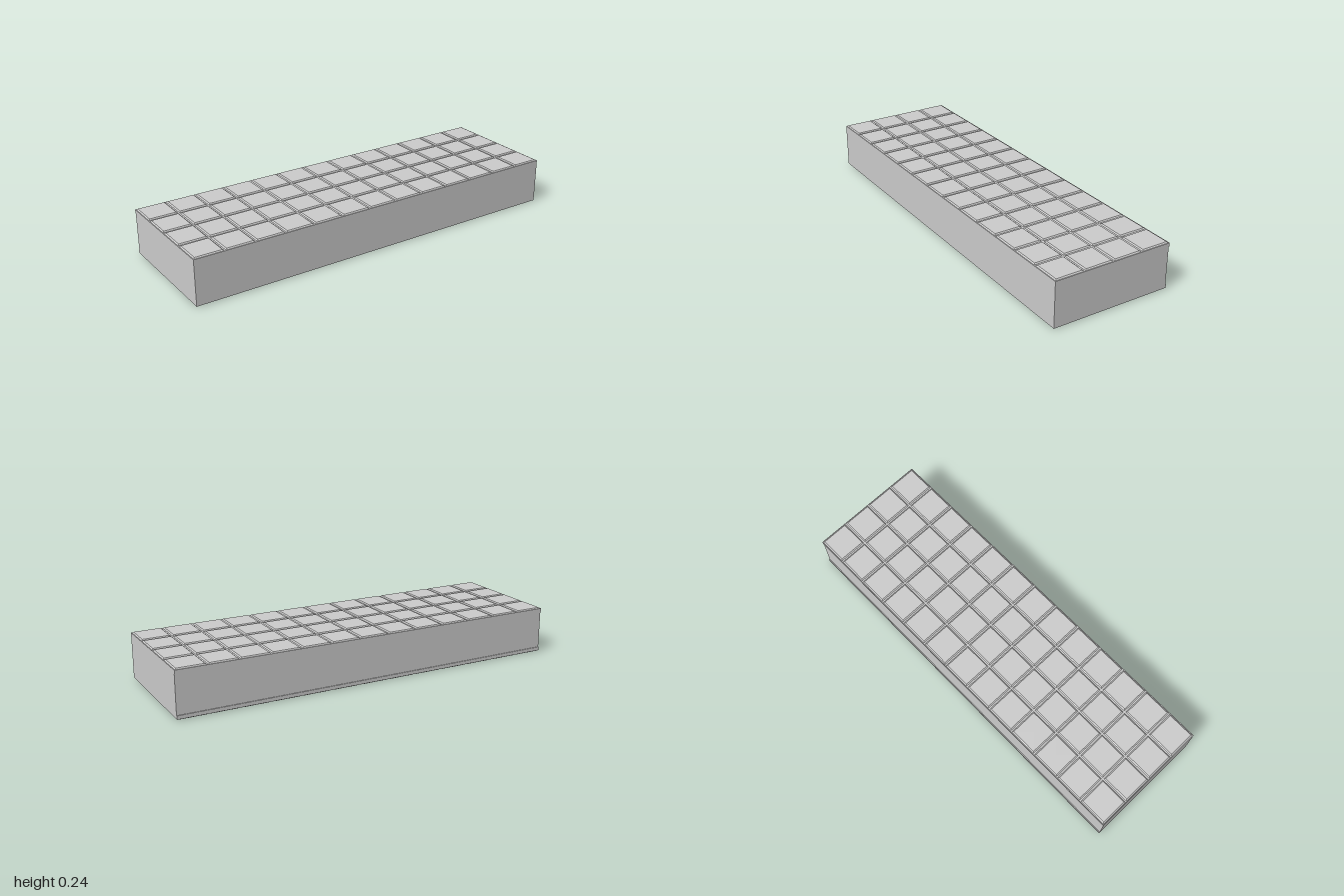
import * as THREE from 'three';

export function createModel() {
  const group = new THREE.Group();
  const material = new THREE.MeshStandardMaterial({ color: 0xcccccc, flatShading: true });

  const columns = 13, rows = 4, pitch = 2 / columns;
  const halfDepth = rows * pitch / 2;
  const bottom = 0.005, top = 0.234, padHeight = 0.005;

  // Slab: cross-section with a shallow recess in the back, extruded along x
  const recess = halfDepth - 0.004, lip = 0.018;
  const section = new THREE.Shape([
    [-halfDepth, bottom], [halfDepth, bottom], [halfDepth, bottom + lip], [recess, bottom + lip],
    [recess, top - lip], [halfDepth, top - lip], [halfDepth, top], [-halfDepth, top],
  ].map(([x, y]) => new THREE.Vector2(x, y)));
  const slabGeometry = new THREE.ExtrudeGeometry(section, { depth: 2, bevelEnabled: false });
  slabGeometry.translate(0, 0, -1).rotateY(Math.PI / 2);
  const slab = new THREE.Mesh(slabGeometry, material);
  slab.name = 'slab';
  group.add(slab);

  // Raised pad: a shallow square frustum
  const baseSize = 0.146, topSize = 0.134;
  const padGeometry = new THREE.CylinderGeometry(topSize * Math.SQRT1_2, baseSize * Math.SQRT1_2, padHeight, 4);
  padGeometry.rotateY(Math.PI / 4);

  // Grid of pads on the top and the underside
  for (const side of ['top', 'bottom']) {
    const pads = new THREE.Group();
    pads.name = side + 'Pads';
    for (let i = 0; i < columns; i++) {
      for (let j = 0; j < rows; j++) {
        const pad = new THREE.Mesh(padGeometry, material);
        pad.name = 'pad';
        pad.position.set((i - (columns - 1) / 2) * pitch, padHeight / 2, (j - (rows - 1) / 2) * pitch);
        pads.add(pad);
      }
    }
    if (side === 'top') {
      pads.position.y = top;
    } else {
      pads.position.y = bottom;
      pads.rotation.x = Math.PI;
    }
    group.add(pads);
  }
  return group;
}
